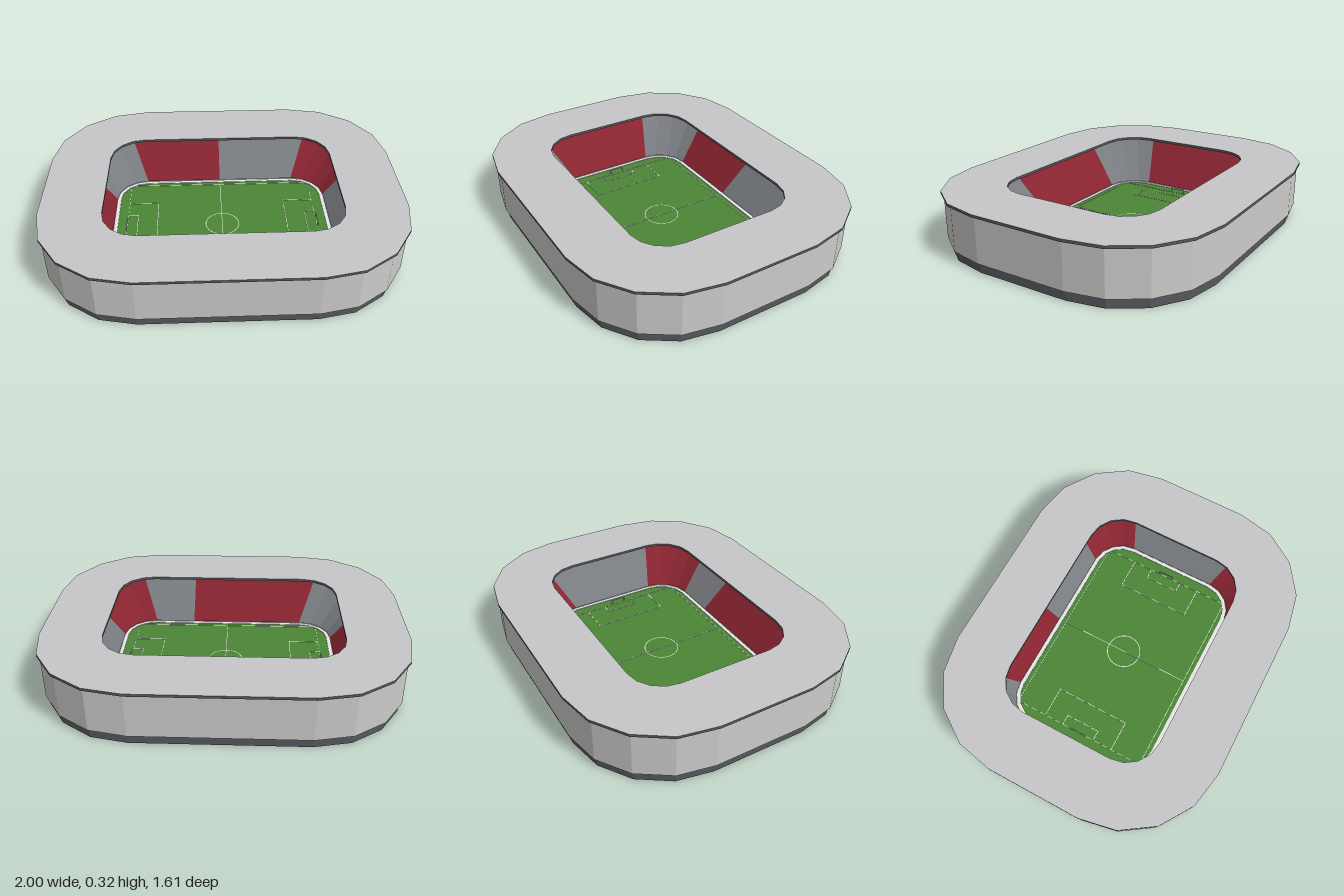
import * as THREE from 'three';

const material = (name, color, side = THREE.DoubleSide) => {
  const m = new THREE.MeshStandardMaterial({ color, side });
  m.name = name;
  return m;
};

// Straight half-lengths shared by every rounded-rectangle ring
const CX = 0.46, CZ = 0.265, CORNER_STEPS = 4;

// Rounded rectangle lying "offset" outside the core, with its own corner radius.
// Two extra points on the long sides mark where the seat colours change.
function ring(offset, y, radius = offset) {
  const grow = offset - radius;
  const pts = [];
  for (let q = 0; q < 4; q++) {
    const sx = q === 0 || q === 3 ? 1 : -1, sz = q < 2 ? 1 : -1;
    for (let i = 0; i <= CORNER_STEPS; i++) {
      const a = (q + i / CORNER_STEPS) * Math.PI / 2;
      pts.push(new THREE.Vector3(
        sx * (CX + grow) + radius * Math.cos(a), y,
        sz * (CZ + grow) + radius * Math.sin(a)));
    }
    if (q === 0) pts.push(new THREE.Vector3(0.22, y, CZ + offset));
    if (q === 2) pts.push(new THREE.Vector3(0, y, -CZ - offset));
  }
  return pts;
}

// Flat-shaded surface through successive rings, optionally only some segments
function loft(rings, keep = () => true) {
  const pos = [];
  for (let k = 0; k < rings.length - 1; k++) {
    const lo = rings[k], hi = rings[k + 1], n = lo.length;
    for (let i = 0; i < n; i++) {
      if (!keep(i)) continue;
      const j = (i + 1) % n;
      for (const p of [lo[i], hi[i], hi[j], lo[i], hi[j], lo[j]]) pos.push(p.x, p.y, p.z);
    }
  }
  const g = new THREE.BufferGeometry();
  g.setAttribute('position', new THREE.Float32BufferAttribute(pos, 3));
  g.computeVertexNormals();
  return g;
}

export function createModel() {
  const group = new THREE.Group();
  group.name = 'stadium';
  const roofGrey = material('roof grey', 0xc6c7c9);
  const wallGrey = material('wall grey', 0xcbcbc9);
  const darkGrey = material('dark grey', 0x55585c);
  const seatGrey = material('seat grey', 0x777a7e);
  const seatRed = material('seat red', 0x86232f);
  const grass = material('grass green', 0x4c8636, THREE.FrontSide);
  const white = material('white', 0xffffff);

  const add = (name, geometry, mat, parent = group) => {
    const mesh = new THREE.Mesh(geometry, mat);
    mesh.name = name;
    parent.add(mesh);
    return mesh;
  };

  // Outer shell: recessed base and taller wall
  add('base', loft([ring(0.508, 0), ring(0.508, 0.055), ring(0.525, 0.055)]), darkGrey);
  add('outerWall', loft([ring(0.525, 0.055), ring(0.525, 0.305)]), wallGrey);

  // Roof: pale top, dark edges and underside
  add('roofTop', loft([ring(0.54, 0.32), ring(0.195, 0.32)]), roofGrey);
  add('roofEdge', loft([ring(0.195, 0.32), ring(0.195, 0.305), ring(0.54, 0.305), ring(0.54, 0.32)]), darkGrey);

  // Seating bowl in blocks of two colours
  const redBlocks = new Set([0, 1, 2, 3, 5, 10, 15, 17, 18, 19, 20]);
  const bowl = [ring(0.182, 0.015), ring(0.46, 0.27, 0.332)];
  add('redSeats', loft(bowl, i => redBlocks.has(i)), seatRed);
  add('greySeats', loft(bowl, i => !redBlocks.has(i)), seatGrey);

  // Pitch and its white surround
  const outline = new THREE.Shape(ring(0.16, 0).map(p => new THREE.Vector2(p.x, p.z)));
  const pitch = new THREE.ExtrudeGeometry(outline, { depth: 0.01, bevelEnabled: false });
  add('pitch', pitch.rotateX(-Math.PI / 2), grass);
  add('pitchSurround', loft([ring(0.16, 0.004), ring(0.16, 0.013), ring(0.182, 0.013)]), white);

  // Pitch markings
  const markings = new THREE.Group();
  markings.name = 'pitchMarkings';
  group.add(markings);
  const line = (name, x, z, w, d) =>
    add(name, new THREE.BoxGeometry(w, 0.002, d), white, markings).position.set(x, 0.011, z);
  const T = 0.004;
  const circle = new THREE.RingGeometry(0.096, 0.1, 32).rotateX(-Math.PI / 2);
  add('centreCircle', circle, white, markings).position.y = 0.012;
  line('halfwayLine', 0, 0, 0.003, 0.8);
  for (const s of [-1, 1]) {
    line('touchLine', 0, s * 0.4, 1.12, 0.003);
    line('goalLine', s * 0.562, 0, 0.002, 0.8);
    line('penaltyBoxFront', s * 0.385, 0, 0.003, 0.43);
    line('goalBoxFront', s * 0.503, 0, 0.003, 0.2);
    for (const t of [-1, 1]) {
      line('penaltyBoxSide', s * 0.472, t * 0.217, 0.178, T);
      line('goalBoxSide', s * 0.532, t * 0.1, 0.06, T);
    }
    // Small goal frame
    const goal = new THREE.Group();
    goal.name = 'goal';
    goal.position.set(s * 0.565, 0.01, 0);
    group.add(goal);
    add('crossbar', new THREE.BoxGeometry(T, T, 0.09), white, goal).position.y = 0.03;
    for (const t of [-1, 1])
      add('goalPost', new THREE.BoxGeometry(T, 0.03, T), white, goal).position.set(0, 0.015, t * 0.043);
  }
  return group;
}
